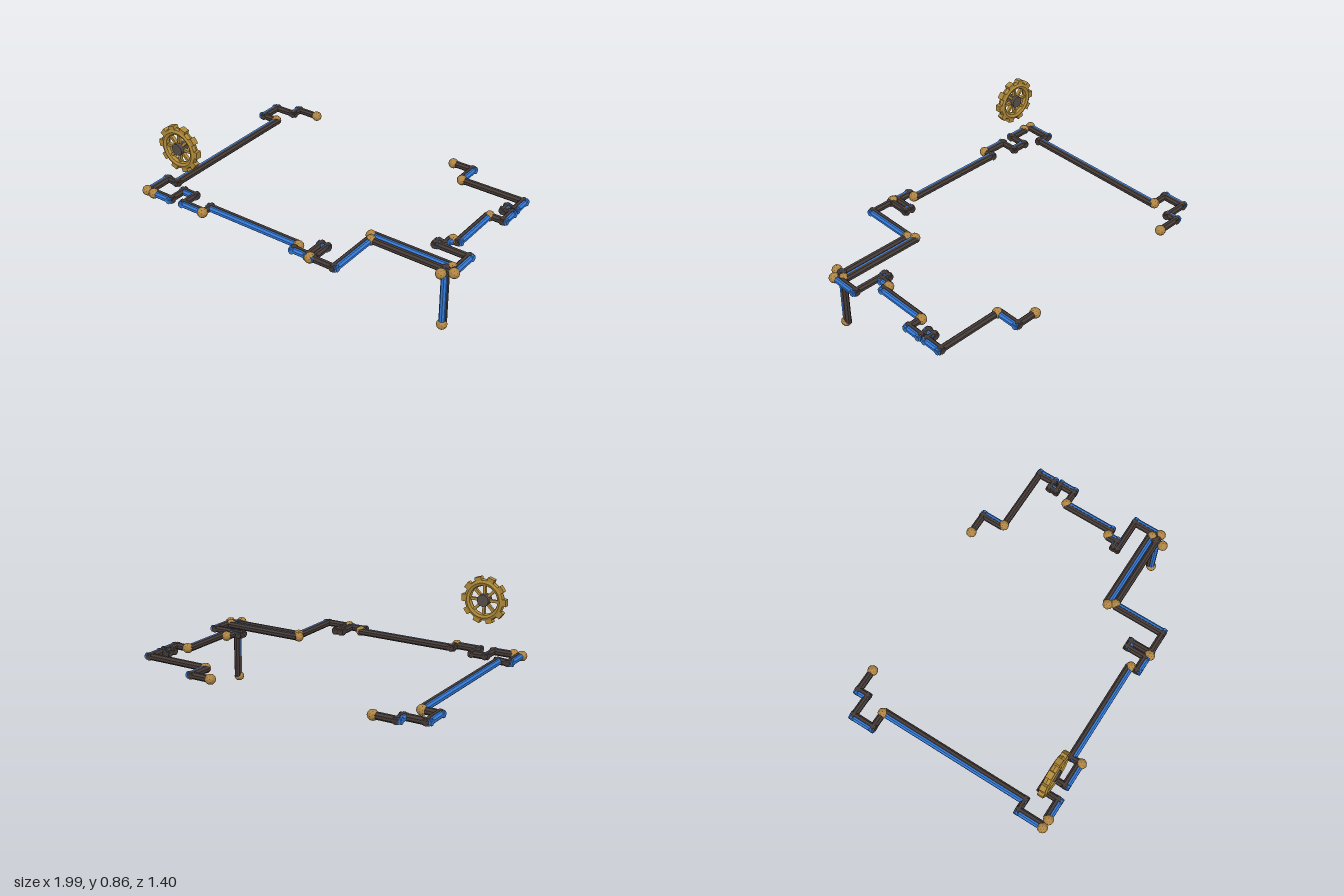
import * as THREE from 'three';

const mat = (name, color) => {
  const m = new THREE.MeshStandardMaterial({ color, flatShading: true });
  m.name = name;
  return m;
};

export function createModel() {
  const blue = mat('blue paint', 0x347ad8);
  const dark = mat('dark iron', 0x453b37);
  const brass = mat('brass joint', 0xb08645);
  const gold = mat('gear gold', 0xb08a3a);
  const hubMat = mat('hub grey', 0x574e4a);

  const model = new THREE.Group();
  model.name = 'pipeFrameWithGear';
  const add = (parent, name, geo, material, x = 0, y = 0, z = 0) => {
    const m = new THREE.Mesh(geo, material);
    m.name = name;
    m.position.set(x, y, z);
    parent.add(m);
    return m;
  };

  const Y = 0.396, UP = new THREE.Vector3(0, 1, 0);

  // One eight-sided rod along each leg of a path, overlapping at inner corners only
  function rods(parent, name, pts, r, material, shift) {
    for (let i = 1; i < pts.length; i++) {
      const dir = pts[i].clone().sub(pts[i - 1]).normalize();
      const a = pts[i - 1].clone().addScaledVector(dir, i > 1 ? -r * 0.9 : 0);
      const b = pts[i].clone().addScaledVector(dir, i < pts.length - 1 ? r * 0.9 : 0);
      const geo = new THREE.CylinderGeometry(r, r, a.distanceTo(b), 8).rotateY(Math.PI / 8);
      const rod = add(parent, name, geo, material);
      rod.position.copy(a).add(b).multiplyScalar(0.5).add(shift);
      rod.quaternion.setFromUnitVectors(UP, dir);
    }
  }

  // A pipe: blue outer rod, thicker dark rod set back from it, ball at each end
  function pipe(name, outX, outZ, path) {
    const g = new THREE.Group();
    g.name = name;
    const pts = path.map(([x, z, y = Y]) => new THREE.Vector3(x, y, z));
    rods(g, 'outerRod', pts, 0.0195, blue, new THREE.Vector3());
    rods(g, 'innerRod', pts, 0.0215, dark, new THREE.Vector3(-outX * 0.014, 0, -outZ * 0.014));
    for (const p of [pts[0], pts[pts.length - 1]]) {
      add(g, 'jointBall', new THREE.IcosahedronGeometry(0.032, 1), brass, p.x, p.y, p.z);
    }
    model.add(g);
  }

  // Right-hand side (-x)
  pipe('backRightPipe', -1, 0, [[-0.685, -0.667], [-0.84, -0.667], [-0.84, -0.603],
    [-0.978, -0.603], [-0.978, -0.468], [-0.865, -0.468]]);
  pipe('longSidePipe', -1, 0, [[-0.865, -0.468], [-0.865, 0.495], [-0.935, 0.495], [-0.935, 0.66]]);

  // Front run
  pipe('gearPipe', 0, 1, [[-0.88, 0.665], [-0.755, 0.665], [-0.755, 0.553],
    [-0.665, 0.553], [-0.665, 0.655], [-0.51, 0.655]]);
  pipe('longFrontPipe', 0, 1, [[-0.51, 0.655], [-0.51, 0.597], [0.14, 0.597]]);
  pipe('frontLoopPipe', 0, 1, [[0.14, 0.597], [0.14, 0.65], [0.235, 0.65],
    [0.235, 0.53], [0.275, 0.53], [0.275, 0.655], [0.26, 0.655]]);
  pipe('frontCornerPipe', 1, 0, [[0.26, 0.65], [0.43, 0.65], [0.43, 0.32]]);
  pipe('innerCrossPipe', 0, 1, [[0.405, 0.28], [0.93, 0.28]]);
  pipe('outerCrossPipe', 1, 0, [[0.43, 0.32], [0.965, 0.32]]);
  pipe('dropPipe', 0, 1, [[0.91, 0.365], [0.91, 0.325], [0.91, 0.325, 0.034]]);

  // Left-hand side (+x)
  pipe('leftStepPipe', 1, 0, [[0.965, 0.32], [0.965, 0.145], [0.755, 0.145],
    [0.755, 0.117], [0.795, 0.117], [0.795, 0.05]]);
  pipe('leftMiddlePipe', 1, 0, [[0.795, 0.05], [0.84, 0.05], [0.84, -0.278]]);
  pipe('leftZigzagPipe', 1, 0, [[0.84, -0.278], [0.94, -0.278], [0.94, -0.375],
    [0.888, -0.375], [0.888, -0.42], [0.935, -0.42], [0.935, -0.525], [0.51, -0.525]]);
  pipe('backLeftPipe', 1, 0, [[0.51, -0.525], [0.51, -0.667], [0.365, -0.667]]);

  // Gear wheel standing above the front run
  const gear = new THREE.Group();
  gear.name = 'gearWheel';
  gear.position.set(-0.71, 0.724, 0.59);
  add(gear, 'rim', new THREE.TorusGeometry(0.106, 0.022, 8, 24).scale(1, 1, 1.1), gold);
  const TEETH = 10, SPOKES = 8;
  for (let i = 0; i < TEETH; i++) {
    const a = (i / TEETH) * Math.PI * 2;
    const t = add(gear, 'tooth', new THREE.BoxGeometry(0.03, 0.042, 0.036), gold,
      Math.cos(a) * 0.127, Math.sin(a) * 0.127, 0);
    t.rotation.z = a;
  }
  for (let i = 0; i < SPOKES; i++) {
    const a = (i / SPOKES) * Math.PI * 2;
    const s = add(gear, 'spoke', new THREE.BoxGeometry(0.065, 0.016, 0.02), gold,
      Math.cos(a) * 0.058, Math.sin(a) * 0.058, 0);
    s.rotation.z = a;
  }
  add(gear, 'hub', new THREE.CylinderGeometry(0.037, 0.037, 0.056, 12).rotateX(Math.PI / 2), hubMat);
  model.add(gear);

  return model;
}
